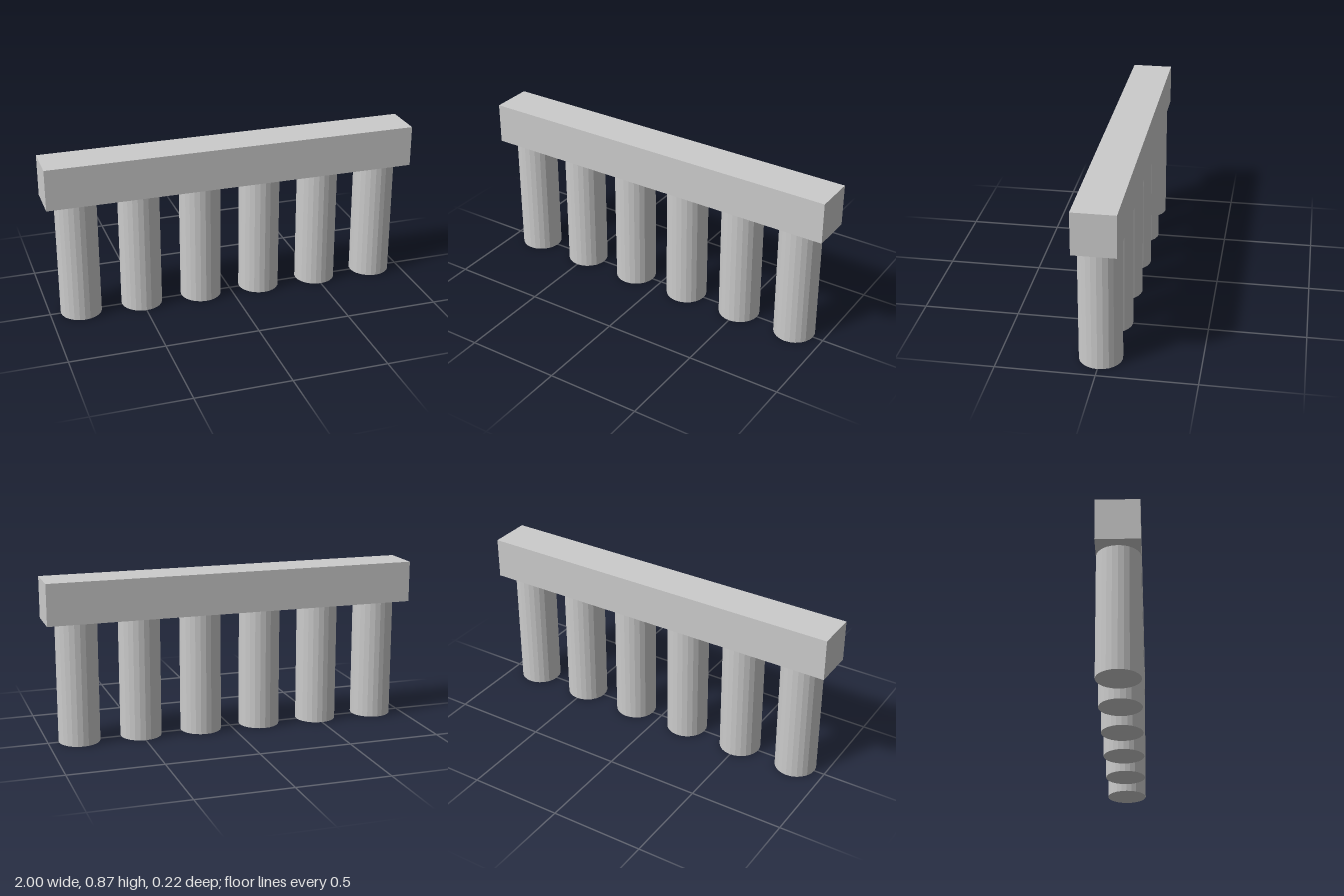
import * as THREE from 'three';

const COLUMN_COUNT = 6;
const SPACING = 1 / 3;
const RADIUS = 0.11;
const COLUMN_HEIGHT = 0.65;
const BEAM_HEIGHT = 0.22;

export function createModel() {
  const model = new THREE.Group();
  model.name = 'colonnade';
  const material = new THREE.MeshStandardMaterial({ color: 0xcccccc, flatShading: true });

  // Beam resting on the columns
  const beam = new THREE.Mesh(new THREE.BoxGeometry(2, BEAM_HEIGHT, 2 * RADIUS), material);
  beam.name = 'beam';
  beam.position.y = COLUMN_HEIGHT + BEAM_HEIGHT / 2;
  model.add(beam);

  // Evenly spaced row of faceted columns
  const columnGeometry = new THREE.CylinderGeometry(RADIUS, RADIUS, COLUMN_HEIGHT, 24);
  for (let i = 0; i < COLUMN_COUNT; i++) {
    const column = new THREE.Mesh(columnGeometry, material);
    column.name = `column${i + 1}`;
    column.position.set((i - (COLUMN_COUNT - 1) / 2) * SPACING, COLUMN_HEIGHT / 2, 0);
    model.add(column);
  }

  return model;
}
